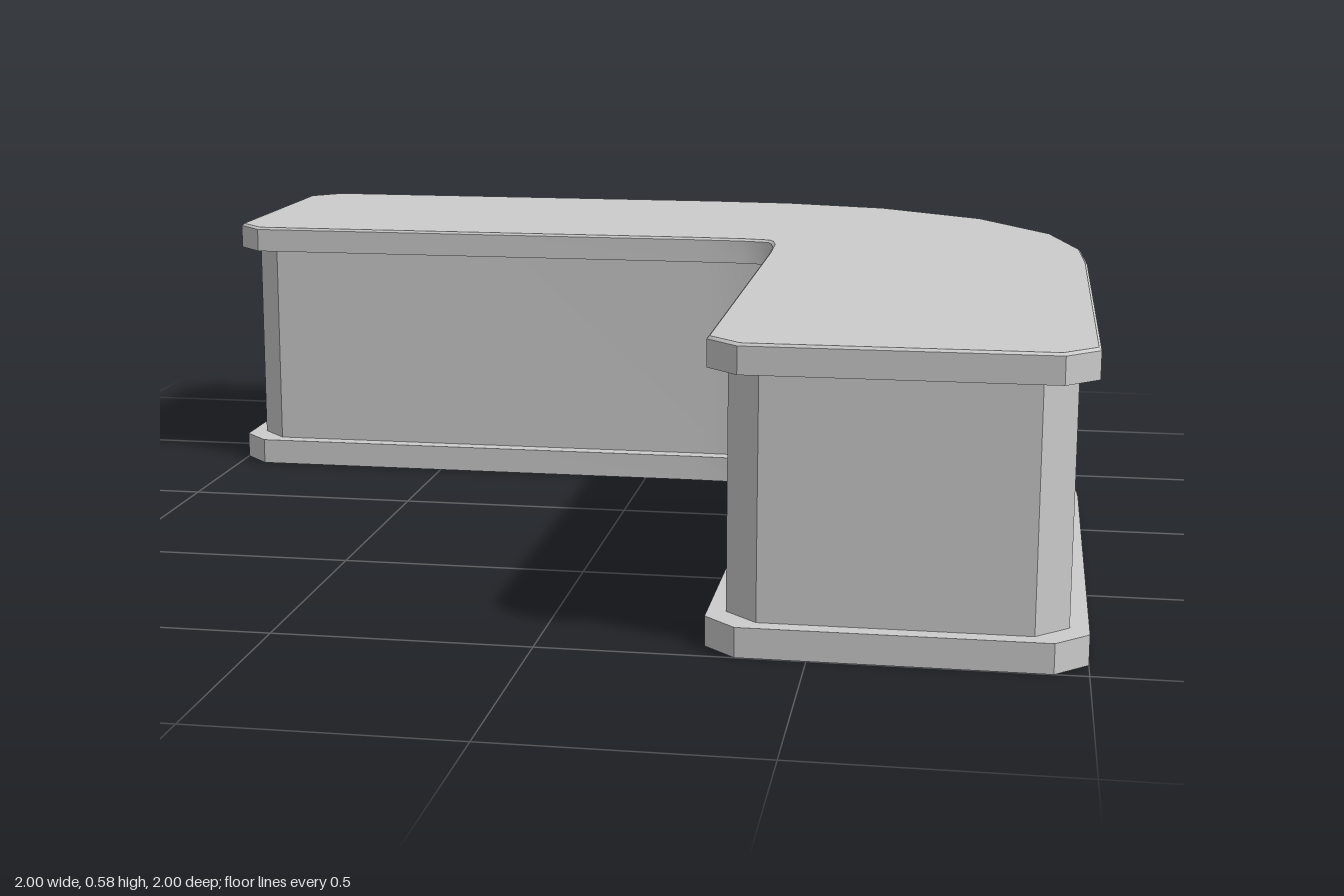
import * as THREE from 'three';
import { toCreasedNormals } from 'three/addons/utils/BufferGeometryUtils.js';

// Half of the L-shaped plan, from inner bend round the arm's end to outer bend.
// Each point is x, z, then the direction it moves when the plan is inset.
const half = [
  [0.288, -0.288, 1, -1], [0.272, -0.295, 1, -1], [0.225, -0.304, 1, -1], [0.1, -0.308, 1, -1],
  [-0.94, -0.308, 1, -1], [-1, -0.37, 1, -1],
  [-1, -0.938, 1, 1], [-0.938, -1, 1, 1],
  [0.07, -1, -1, 1], [0.27, -0.99, -1, 1], [0.515, -0.928, -1, 1], [0.762, -0.762, -1, 1],
];
// The other arm mirrors the first across the diagonal
const mirrored = half.slice(1, -1).reverse().map(([x, z, sx, sz]) => [-z, -x, -sz, -sx]);
const plan = [...half, ...mirrored];

const outline = (inset) => plan.map(([x, z, sx, sz]) => [x + sx * inset, z + sz * inset]);

const material = new THREE.MeshStandardMaterial({ color: 0xcccccc, side: THREE.DoubleSide });

// Skin that follows the plan through a list of [height, inset] levels
function band(name, levels) {
  const pos = [];
  for (let l = 0; l < levels.length - 1; l++) {
    const [y0, in0] = levels[l];
    const [y1, in1] = levels[l + 1];
    const a = outline(in0);
    const b = outline(in1);
    for (let i = 0; i < a.length; i++) {
      const j = (i + 1) % a.length;
      const p0 = [a[i][0], y0, a[i][1]], q0 = [a[j][0], y0, a[j][1]];
      const p1 = [b[i][0], y1, b[i][1]], q1 = [b[j][0], y1, b[j][1]];
      pos.push(...p0, ...q1, ...q0, ...p0, ...p1, ...q1);
    }
  }
  const geo = new THREE.BufferGeometry();
  geo.setAttribute('position', new THREE.Float32BufferAttribute(pos, 3));
  const mesh = new THREE.Mesh(toCreasedNormals(geo, 0.76), material);
  mesh.name = name;
  return mesh;
}

export function createModel() {
  const group = new THREE.Group();
  group.name = 'cornerCounter';
  const height = 0.577, rim = 0.057, wallInset = 0.035, bevel = 0.005;

  // Plinth rim with its ledge, open underneath
  group.add(band('baseRim', [[0, 0], [rim, 0], [rim, wallInset]]));
  // Recessed wall
  group.add(band('wall', [[rim, wallInset], [height - rim, wallInset]]));
  // Overhanging edge of the top, with a fine bevel
  group.add(band('topRim', [
    [height - rim, wallInset], [height - rim, 0], [height - bevel, 0], [height, bevel],
  ]));

  // Flat top
  const shape = new THREE.Shape(outline(bevel).map(([x, z]) => new THREE.Vector2(x, -z)));
  const top = new THREE.Mesh(new THREE.ShapeGeometry(shape).rotateX(-Math.PI / 2), material);
  top.position.y = height;
  top.name = 'top';
  group.add(top);
  return group;
}
